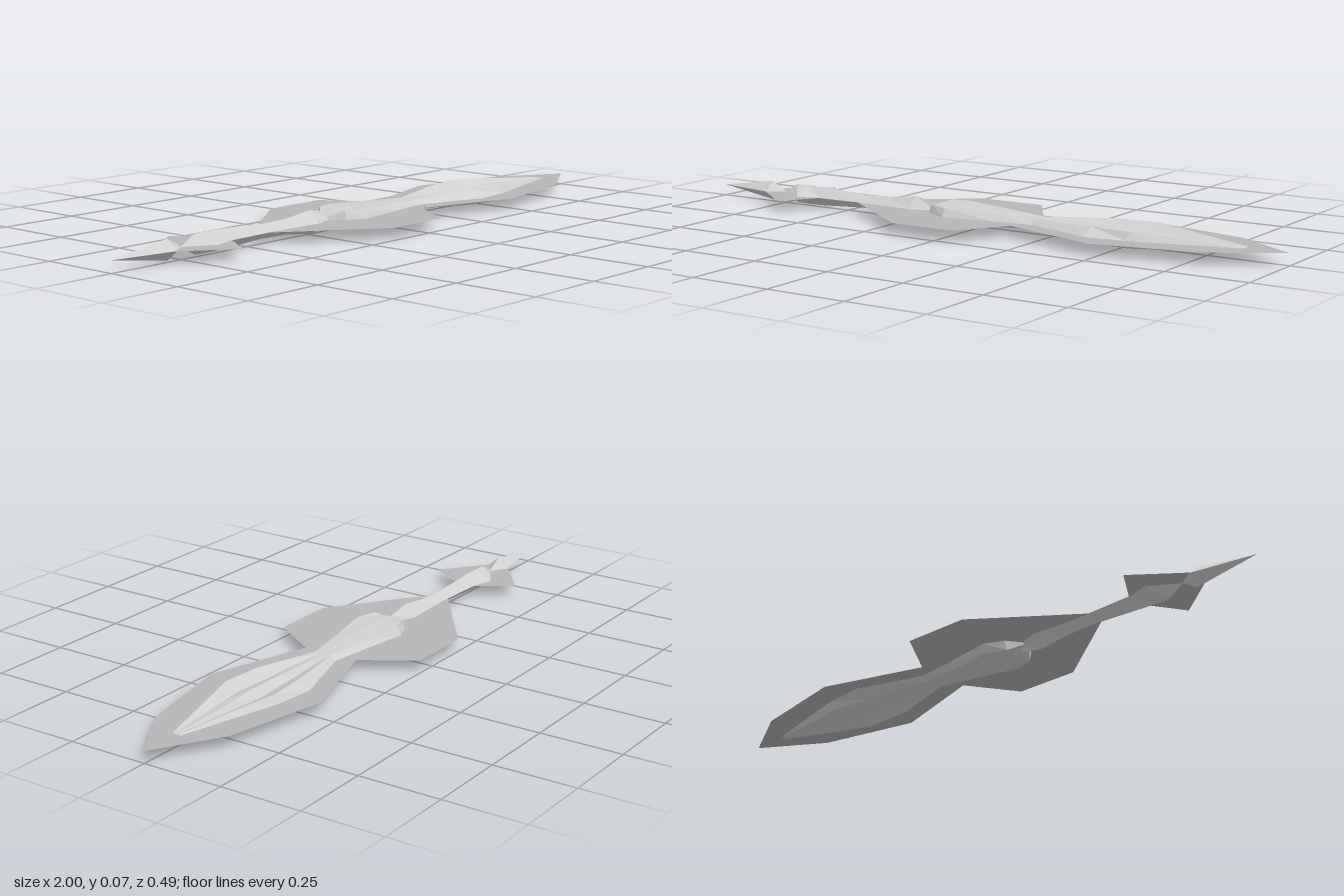
import * as THREE from 'three';

const MID = 0.036; // height of the symmetry plane

// Lofts closed cross-sections [[x, y, z], ...] along x, flat shaded
function loft(sections, material, name) {
  const pos = [];
  const n = sections[0].length;
  for (let i = 0; i < sections.length - 1; i++) {
    for (let j = 0; j < n; j++) {
      const k = (j + 1) % n;
      const a = sections[i][j], b = sections[i][k];
      const c = sections[i + 1][j], d = sections[i + 1][k];
      pos.push(...a, ...b, ...c, ...b, ...d, ...c);
    }
  }
  const geo = new THREE.BufferGeometry();
  geo.setAttribute('position', new THREE.Float32BufferAttribute(pos, 3));
  geo.computeVertexNormals();
  const mesh = new THREE.Mesh(geo, material);
  mesh.name = name;
  return mesh;
}

// Diamond section: half height h, half width w
const diamond = ([x, h, w]) => [[x, MID + h, 0], [x, MID, -w], [x, MID - h, 0], [x, MID, w]];

// Fluted section: sharp edge, raised rib, groove and centre ridge, mirrored on both axes
function fluted([x, edge, rib, ribH, groove, grooveH, centreH]) {
  const q = [[0, centreH], [groove, grooveH], [rib, ribH], [edge, 0]];
  const back = q.map(([z, y]) => [x, MID + y, -z]);
  const backLow = q.slice(0, 3).reverse().map(([z, y]) => [x, MID - y, -z]);
  const frontLow = q.slice(1).map(([z, y]) => [x, MID - y, z]);
  const front = q.slice(1, 3).reverse().map(([z, y]) => [x, MID + y, z]);
  return [...back, ...backLow, ...frontLow, ...front];
}

export function createModel() {
  const group = new THREE.Group();
  const steel = new THREE.MeshStandardMaterial({ color: 0xd0d0d0, flatShading: true, side: THREE.DoubleSide });
  steel.name = 'light steel';
  const edge = new THREE.MeshStandardMaterial({ color: 0xb6b6b6, side: THREE.DoubleSide });
  edge.name = 'grey edge';

  // Pommel spike
  group.add(loft([[-1, 0, 0], [-0.8, 0.03, 0.035], [-0.75, 0.001, 0.002]].map(diamond), steel, 'pommelSpike'));

  // Grip
  group.add(loft([
    [-0.75, 0.001, 0.002], [-0.7, 0.029, 0.03], [-0.66, 0.03, 0.055], [-0.59, 0.029, 0.032],
    [-0.44, 0.021, 0.028], [-0.34, 0.023, 0.03], [-0.24, 0.035, 0.036], [-0.16, 0.022, 0.01],
  ].map(diamond), steel, 'grip'));

  // Guard: x, edge, rib, rib height, groove, groove height, centre height
  group.add(loft([
    [-0.185, 0.004, 0.003, 0.002, 0.001, 0.002, 0.002],
    [-0.145, 0.06, 0.05, 0.027, 0.025, 0.024, 0.026],
    [-0.085, 0.086, 0.072, 0.025, 0.035, 0.025, 0.027],
    [0.08, 0.06, 0.042, 0.02, 0.02, 0.021, 0.022],
    [0.2, 0.045, 0.028, 0.014, 0.01, 0.014, 0.014],
  ].map(fluted), steel, 'guardCore'));

  // Blade core with a groove on each side of the centre ridge
  group.add(loft([
    [0.2, 0.045, 0.028, 0.014, 0.01, 0.014, 0.014],
    [0.35, 0.09, 0.06, 0.021, 0.028, 0.007, 0.014],
    [0.42, 0.114, 0.075, 0.024, 0.03, 0.004, 0.016],
    [0.55, 0.1, 0.085, 0.024, 0.04, 0.004, 0.016],
    [0.64, 0.076, 0.062, 0.019, 0.03, 0.004, 0.009],
    [0.87, 0.014, 0.01, 0.002, 0.004, 0.001, 0.002],
  ].map(fluted), steel, 'bladeCore'));

  // Thin flat plates, outlined as half profiles [x, z] and mirrored
  const plates = {
    pommelFin: [[-0.805, 0.034], [-0.66, 0.147], [-0.59, 0.035], [-0.44, 0.03]],
    bladeEdge: [[-0.44, 0.03], [-0.15, 0.245], [0.06, 0.245], [0.16, 0.09], [0.48, 0.19], [0.8, 0.123], [1, 0]],
  };
  for (const [name, half] of Object.entries(plates)) {
    const outline = [...half, ...half.map(([x, z]) => [x, -z]).reverse()];
    const shape = new THREE.Shape(outline.map(([x, z]) => new THREE.Vector2(x, z)));
    const mesh = new THREE.Mesh(new THREE.ShapeGeometry(shape), edge);
    mesh.rotation.x = -Math.PI / 2;
    mesh.position.y = MID;
    mesh.name = name;
    group.add(mesh);
  }
  return group;
}
